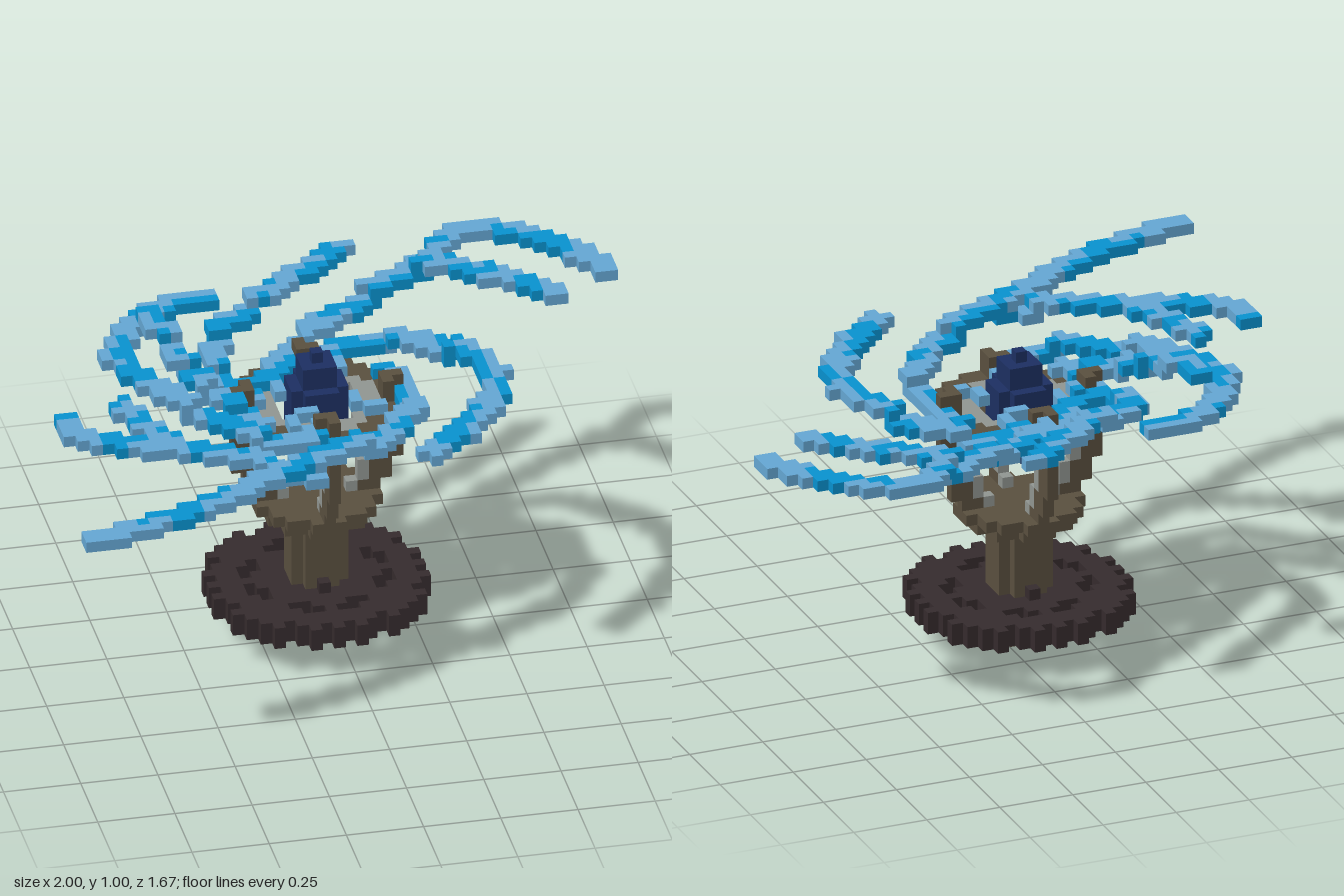
import * as THREE from 'three';
import { mergeGeometries } from 'three/addons/utils/BufferGeometryUtils.js';

const U = 2 / 54;                 // block size
const CX = -0.0556, CZ = -0.0741; // axis of the tower
const AXES = [[1, 0], [-1, 0], [0, 1], [0, -1]];

const mat = (name, color) => Object.assign(new THREE.MeshStandardMaterial({ color }), { name });

export function createModel() {
  const model = new THREE.Group();
  model.name = 'swirlLantern';
  const M = {
    brown: mat('weathered brown', 0x5b5140),
    grey: mat('stone grey', 0x929793),
    dark: mat('dark gear', 0x362c2e),
    navy: mat('navy crystal', 0x1d3063),
    light: mat('light blue', 0x66a9d6),
    vivid: mat('vivid blue', 0x0894d2),
  };

  // Blocks on a grid: column i, layer j, row k, counted from the tower axis
  const cells = new Map();
  const put = (part, color, i, j, k) => {
    const key = `${i},${j},${k}`;
    if (!cells.has(key)) cells.set(key, { part, color, i, j, k });
  };
  const ring = (part, color, j0, j1, r0, r1, keep = () => true) => {
    for (let j = j0; j <= j1; j++)
      for (let i = -10; i <= 10; i++)
        for (let k = -10; k <= 10; k++) {
          const r = Math.hypot(i, k);
          if (r >= r0 && r <= r1 && keep(i, k)) put(part, color, i, j, k);
        }
  };

  // Column, its foot and the pins that hold the gear
  ring('columnFoot', 'brown', 0, 0, 0, 1.5);
  ring('column', 'brown', 1, 10, 0, 2.3);
  for (const s of [-1, 1]) for (let j = 2; j <= 5; j++) put('gearPin', 'dark', 0, j, 3 * s);

  // Gear with a ring of narrow slots and alternating teeth
  const slotted = (i, k) => {
    const r = Math.hypot(i, k);
    return i === 0 || k === 0 || Math.abs(i) === Math.abs(k) || r < 5.3 || r > 6.35;
  };
  ring('gear', 'dark', 3, 4, 0, 8.61, slotted);
  ring('gearTeeth', 'dark', 3, 4, 8.61, 9.45, (i, k) => (i + k) % 2 !== 0);

  // Navy crystal inside the cage
  ring('crystal', 'navy', 17, 18, 0, 1.1);
  ring('crystal', 'navy', 19, 23, 0, 2.3);
  ring('crystal', 'navy', 24, 25, 0, 1.5);
  put('crystal', 'navy', 0, 26, 0);

  // Bowl floor
  ring('bowl', 'brown', 11, 11, 0, 4.3);
  ring('bowl', 'brown', 12, 12, 0, 5.1);

  for (const [dx, dz] of AXES) {
    // Cage rib with grey inner lining
    for (let j = 13; j <= 20; j++) {
      const r = j < 14 ? 5 : j < 16 ? 6 : 7;
      put('cageRib', 'brown', dx * r, j, dz * r);
      put('cageRib', 'brown', dx * (r - 1), j, dz * (r - 1));
      put('ribLining', 'grey', dx * (r - 2), j, dz * (r - 2));
    }
    // Crown post, widened to one side like a pinwheel
    for (let j = 22; j <= 23; j++) {
      put('crownPost', 'brown', dx * 7, j, dz * 7);
      put('crownPost', 'brown', dx * 6, j, dz * 6);
      put('crownPost', 'brown', dx * 6 - dz, j, dz * 6 + dx);
    }
  }

  // Rim of the cage
  ring('rimLining', 'grey', 21, 21, 3.9, 5.4);
  ring('rim', 'brown', 21, 21, 5.4, 7.4);

  // Swirling arm two blocks wide, climbing from layer j0 to j1 along x, z points
  let armCount = 0;
  const arm = (j0, j1, ...points) => {
    const n = armCount++;
    const curve = new THREE.CatmullRomCurve3(points.map(([x, z]) => new THREE.Vector3(x, 0, z)));
    const steps = Math.ceil(curve.getLength() / U * 4);
    for (let s = 0; s <= steps; s++) {
      const t = s / steps;
      const p = curve.getPointAt(t), d = curve.getTangentAt(t);
      const j = Math.min(j1, j0 + Math.floor(t * 5.4));
      const a = (p.x - CX) / U, b = (p.z - CZ) / U;
      // plain edge on one side, brighter patches on the other
      for (const side of [-0.5, 0.5]) {
        const bright = side > 0 ? Math.sin(t * 17 + n) > -0.25 : Math.sin(t * 23 + n * 2) > 0.7;
        put('swirlArm' + (n + 1), bright ? 'vivid' : 'light',
          Math.round(a - d.z * side), j, Math.round(b + d.x * side));
      }
    }
  };
  // Front right hook
  arm(22, 24, [0.02, -0.31], [0.16, -0.36], [0.39, -0.2], [0.5, 0.05], [0.38, 0.31], [0.18, 0.51]);
  // Long front left arm
  arm(22, 24, [0.2, -0.2], [0.22, 0.1], [0.03, 0.34], [-0.26, 0.49], [-0.61, 0.68], [-0.98, 0.81]);
  // Left fork
  arm(23, 24, [-0.17, 0.51], [-0.42, 0.37], [-0.72, 0.24], [-0.87, 0.15], [-0.89, 0.04]);
  arm(24, 24, [-0.56, 0.32], [-0.65, 0.14], [-0.71, -0.02]);
  // Outer and inner left curls
  arm(22, 24, [-0.06, 0.14], [-0.22, 0.22], [-0.49, 0.01], [-0.65, -0.31], [-0.5, -0.56], [-0.29, -0.62]);
  arm(22, 26, [-0.26, 0.09], [-0.45, -0.17], [-0.525, -0.44]);
  // Back arm
  arm(22, 25, [-0.26, -0.08], [-0.33, -0.23], [-0.31, -0.39], [-0.07, -0.58], [0.18, -0.78]);
  // Long back right arm and its branch
  arm(22, 25, [-0.22, -0.18], [0.03, -0.44], [0.37, -0.64], [0.58, -0.79], [0.67, -0.79], [0.88, -0.61], [0.98, -0.45]);
  arm(25, 25, [0.4, -0.66], [0.58, -0.53], [0.8, -0.35]);

  // Short swirls lying on the rim around the crystal
  for (const [dx, dz] of AXES)
    for (const [r, q] of [[3, 1], [3, 2], [4, 3], [5, 3]])
      put('innerSwirl', 'light', dx * r - dz * q, 22, dz * r + dx * q);

  // Outer faces of one block, one turned plane per side
  const H = Math.PI / 2;
  const sides = [
    [1, 0, 0, 0, H], [-1, 0, 0, 0, -H], [0, 1, 0, -H, 0],
    [0, -1, 0, H, 0], [0, 0, 1, 0, 0], [0, 0, -1, 0, 2 * H],
  ].map(([x, y, z, rx, ry]) => {
    const face = new THREE.PlaneGeometry(U, U).rotateX(rx).rotateY(ry);
    return { x, y, z, face: face.translate(x * U / 2, y * U / 2, z * U / 2) };
  });

  // Merge the open faces of each part and colour into one mesh
  const parts = new Map();
  for (const c of cells.values()) {
    const id = c.part + '|' + c.color;
    if (!parts.has(id)) parts.set(id, []);
    for (const f of sides) {
      if (cells.has(`${c.i + f.x},${c.j + f.y},${c.k + f.z}`)) continue;
      parts.get(id).push(f.face.clone().translate(CX + c.i * U, (c.j + 0.5) * U, CZ + c.k * U));
    }
  }
  for (const [id, faces] of parts) {
    if (!faces.length) continue;
    const [part, color] = id.split('|');
    const mesh = new THREE.Mesh(mergeGeometries(faces), M[color]);
    mesh.name = part.startsWith('swirlArm') ? `${part} ${color}` : part;
    model.add(mesh);
  }
  return model;
}
